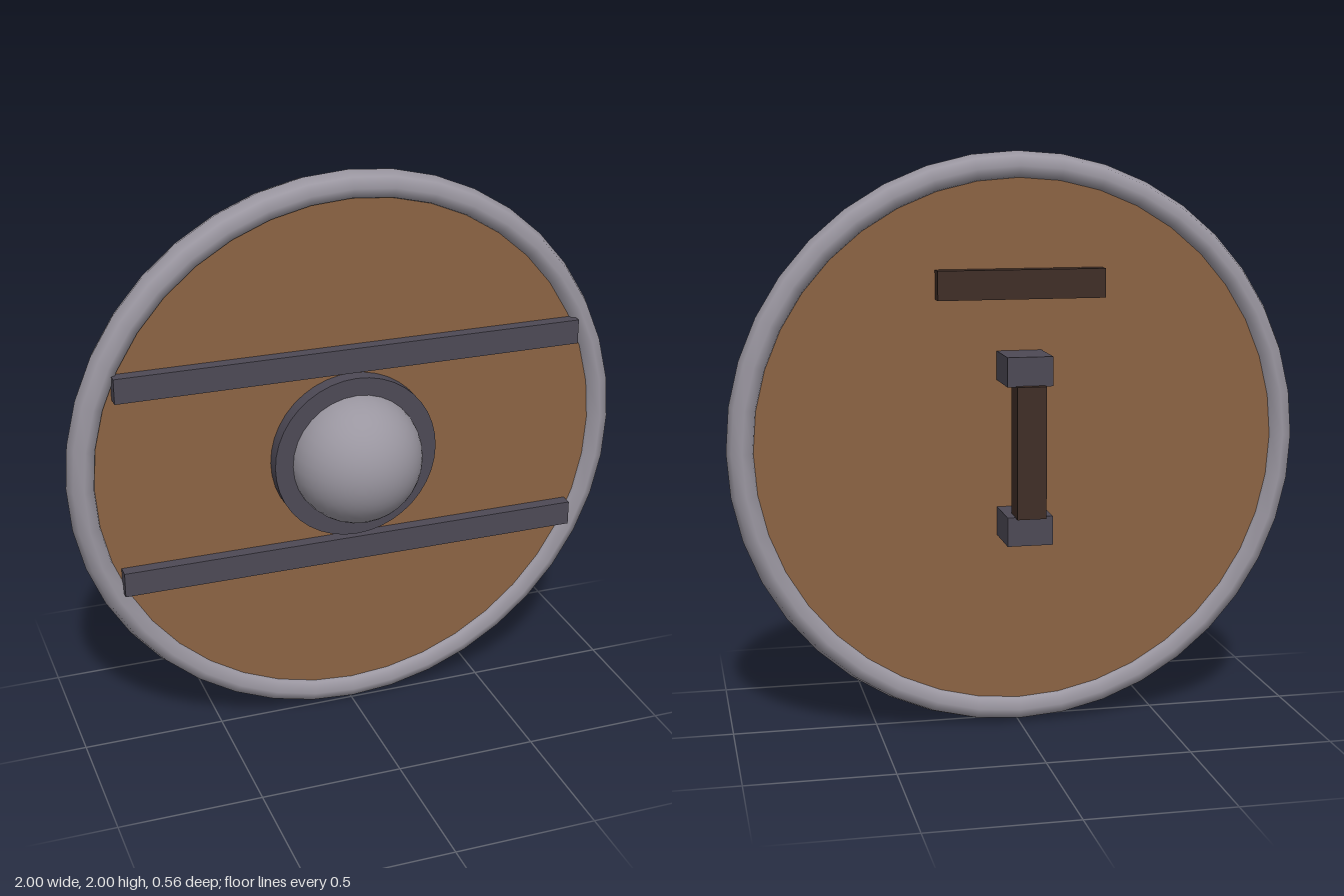
import * as THREE from 'three';

const mat = (color) => new THREE.MeshStandardMaterial({ color });

export function createModel() {
  const model = new THREE.Group();
  model.name = 'roundShield';

  const wood = mat(0x8b6343);
  const steel = mat(0x9a96a0);
  const iron = mat(0x4d4955);
  const leather = mat(0x3f2e27);

  const add = (name, geometry, material, x, y, z) => {
    const mesh = new THREE.Mesh(geometry, material);
    mesh.name = name;
    mesh.position.set(x, y, z);
    model.add(mesh);
    return mesh;
  };
  const box = (name, material, w, h, d, x, y, z) =>
    add(name, new THREE.BoxGeometry(w, h, d), material, x, y, z);
  // Flat round plate facing the front
  const disc = (name, material, radius, depth, y, z) =>
    add(name, new THREE.CylinderGeometry(radius, radius, depth, 40).rotateX(Math.PI / 2), material, 0, y, z);

  // Wooden board and its metal rim, slightly deeper than it is wide
  disc('board', wood, 0.94, 0.067, 1, -0.033);
  const rim = add('rim', new THREE.TorusGeometry(0.95, 0.05, 8, 40), steel, 0, 1, -0.033);
  rim.scale.z = 1.3;

  // Domed boss on a round flange
  disc('bossFlange', iron, 0.295, 0.055, 1, 0.0275);
  const dome = new THREE.SphereGeometry(0.232, 32, 12, 0, Math.PI * 2, 0, Math.PI / 2);
  add('boss', dome.rotateX(Math.PI / 2), steel, 0, 1, 0.046);

  // Front bands and rear handle brackets, above and below the centre
  for (const [side, s] of [['upper', 1], ['lower', -1]]) {
    box(side + 'Band', iron, 1.67, 0.088, 0.045, 0, 1 + s * 0.356, 0.0235);
    box(side + 'Bracket', iron, 0.156, 0.1, 0.19, 0, 1.003 + s * 0.272, -0.155);
  }

  // Rear grip and arm strap
  box('grip', leather, 0.1, 0.45, 0.1, 0, 1.003, -0.228);
  box('armStrap', leather, 0.58, 0.1, 0.06, 0, 1.555, -0.094);

  return model;
}
